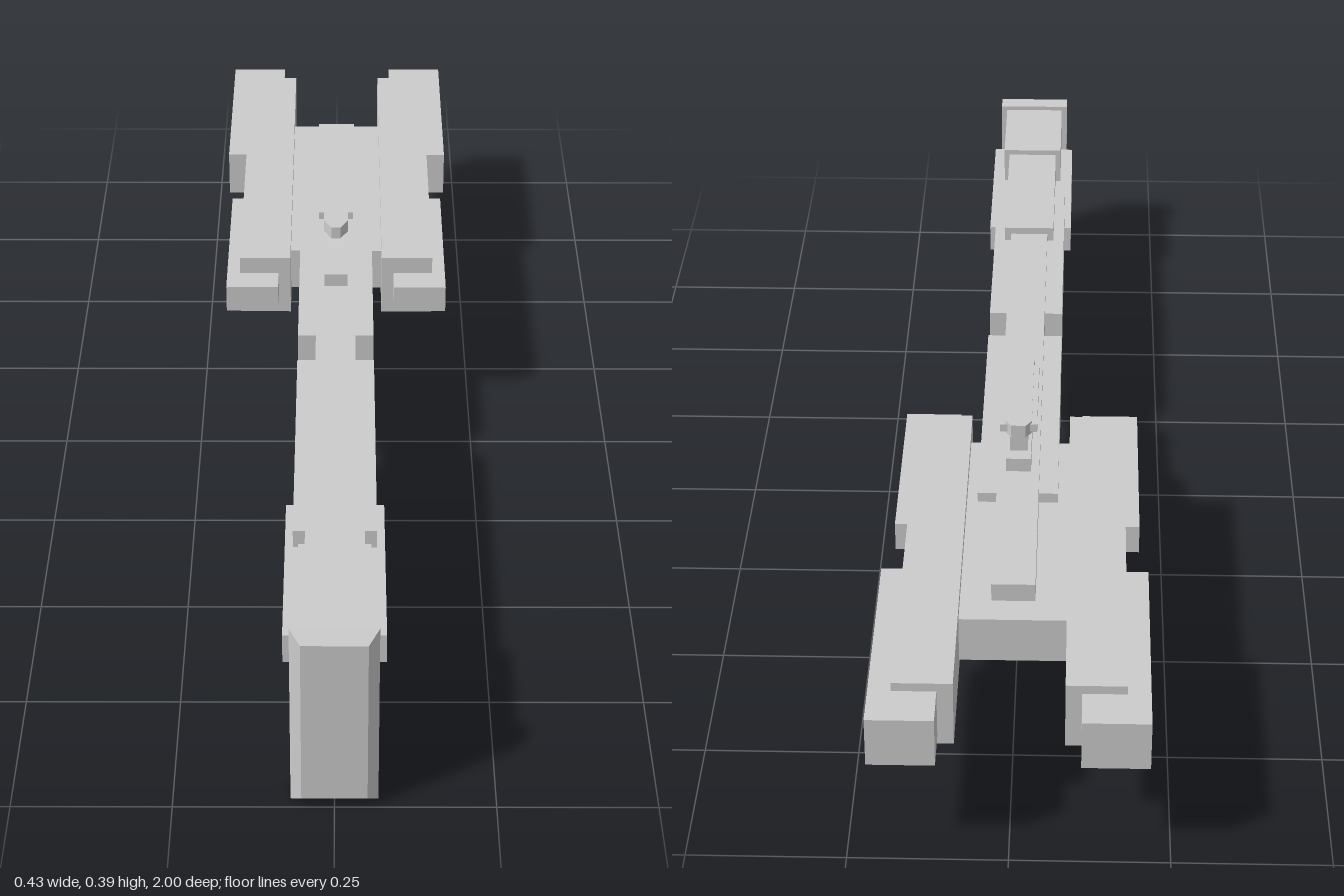
import * as THREE from 'three';

const material = new THREE.MeshStandardMaterial({ color: 0xcccccc, flatShading: true });

export function createModel() {
  const model = new THREE.Group();
  model.name = 'starship';

  const add = (name, geometry) => {
    const mesh = new THREE.Mesh(geometry, material);
    mesh.name = name;
    model.add(mesh);
    return mesh;
  };
  // Box given by its extents on each axis
  const box = (name, [x0, x1], [y0, y1], [z0, z1]) =>
    add(name, new THREE.BoxGeometry(x1 - x0, y1 - y0, z1 - z0))
      .position.set((x0 + x1) / 2, (y0 + y1) / 2, (z0 + z1) / 2);
  const centred = (name, halfWidth, y, z) => box(name, [-halfWidth, halfWidth], y, z);
  const paired = (name, [x0, x1], y, z) => {
    box(name + 'Left', [x0, x1], y, z);
    box(name + 'Right', [-x1, -x0], y, z);
  };

  // Bow plate with a chamfered front rim
  centred('bowPlate', 0.068, [0, 0.333], [0.945, 0.98]);
  const face = new THREE.BoxGeometry(0.136, 0.333, 0.02);
  const p = face.attributes.position;
  for (let i = 0; i < p.count; i++) {
    if (p.getZ(i) > 0) {
      p.setX(i, Math.sign(p.getX(i)) * 0.051);
      p.setY(i, Math.sign(p.getY(i)) * 0.149);
    }
  }
  face.computeVertexNormals();
  add('bowChamfer', face).position.set(0, 0.1665, 0.99);

  // Head, neck and spine
  centred('headBlock', 0.057, [0.01, 0.325], [0.76, 0.945]);
  centred('neckBlock', 0.047, [0.105, 0.315], [0.45, 0.76]);
  centred('chinBlock', 0.035, [0.027, 0.105], [0.63, 0.76]);
  centred('spine', 0.035, [0.16, 0.302], [-0.695, 0.45]);
  centred('forwardSidePanels', 0.067, [0.174, 0.288], [0.17, 0.675]);
  centred('middleSidePanels', 0.067, [0.174, 0.288], [-0.42, 0.09]);
  centred('headSideStrips', 0.08, [0.205, 0.256], [0.56, 0.9]);

  // Engine pods on a cross member
  centred('podConnector', 0.086, [0.19, 0.27], [-0.745, -0.24]);
  paired('enginePod', [0.085, 0.179], [0.172, 0.288], [-0.93, -0.182]);
  paired('engineTail', [0.11, 0.215], [0.187, 0.273], [-1, -0.617]);
  paired('podSideBlock', [0.107, 0.203], [0.205, 0.256], [-0.468, -0.13]);

  // Bridge base and sloped tower, profile drawn in (-z, y)
  centred('bridgeBase', 0.021, [0.3, 0.327], [-0.375, -0.057]);
  const profile = new THREE.Shape([[0.145, 0.325], [0.35, 0.325], [0.35, 0.372], [0.225, 0.372]]
    .map(([a, b]) => new THREE.Vector2(a, b)));
  const tower = new THREE.ExtrudeGeometry(profile, { depth: 0.03, bevelEnabled: false });
  tower.translate(0, 0, -0.015).rotateY(Math.PI / 2);
  add('bridgeTower', tower);

  // Bridge deck with clipped ends, outline in (x, -z)
  const outline = [[0.008, 0.112], [0.022, 0.14], [0.022, 0.36], [0.012, 0.375]];
  const deckShape = new THREE.Shape([
    ...outline.map(([x, z]) => new THREE.Vector2(x, z)),
    ...outline.slice().reverse().map(([x, z]) => new THREE.Vector2(-x, z)),
  ]);
  const deck = new THREE.ExtrudeGeometry(deckShape, { depth: 0.023, bevelEnabled: false });
  deck.rotateX(-Math.PI / 2).translate(0, 0.37, 0);
  add('bridgeDeck', deck);
  centred('bridgeWings', 0.031, [0.375, 0.389], [-0.365, -0.175]);

  return model;
}
